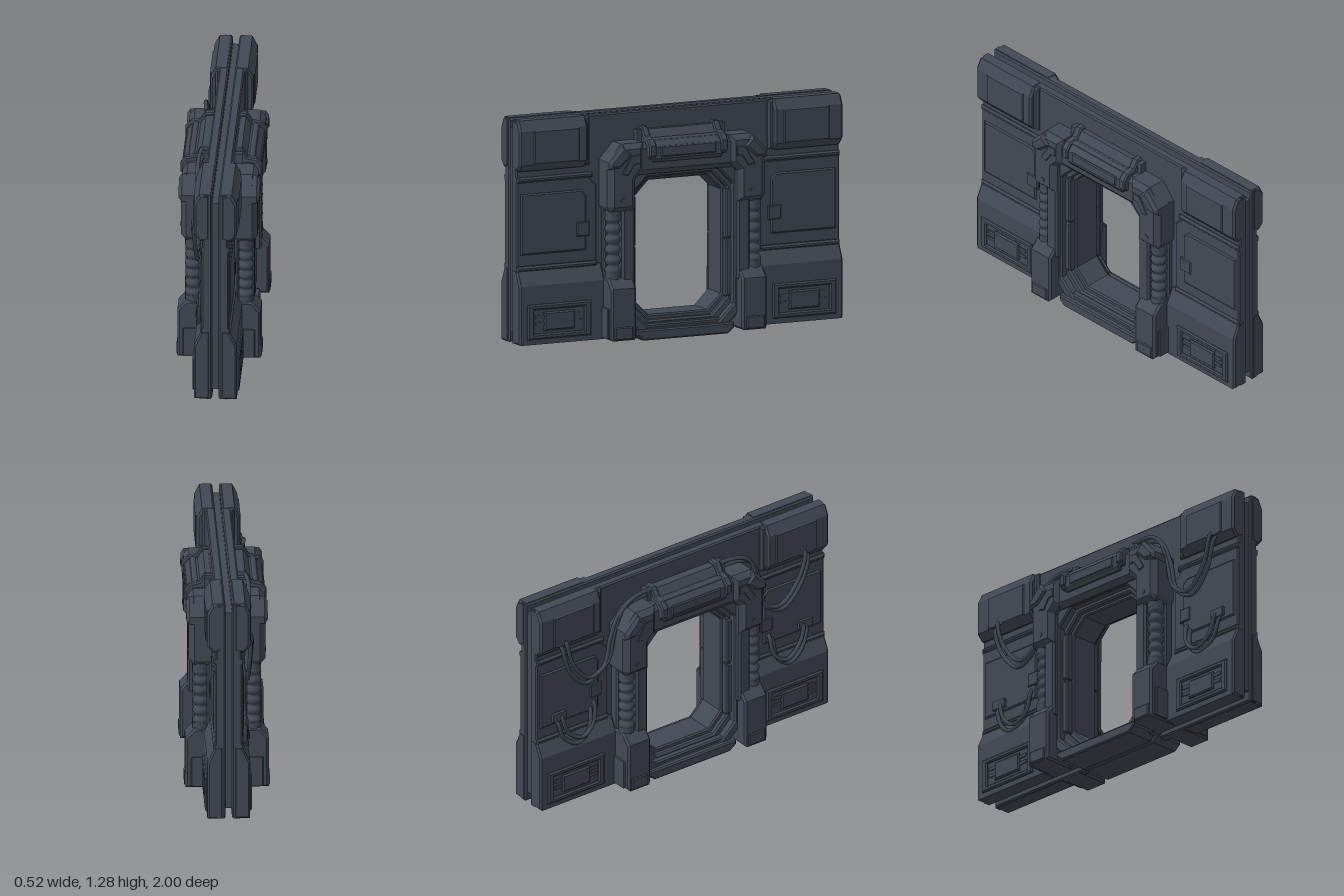
import * as THREE from 'three';

const steel = new THREE.MeshStandardMaterial({ color: 0x424854 });
steel.name = 'dark steel';

function add(parent, name, geo) {
  const m = new THREE.Mesh(geo, steel);
  m.name = name;
  parent.add(m);
  return m;
}

function extrude(shape, length, bevel) {
  return new THREE.ExtrudeGeometry(shape, {
    depth: length - 2 * bevel, bevelEnabled: bevel > 0, bevelThickness: bevel,
    bevelSize: bevel, bevelOffset: -bevel, bevelSegments: 1, curveSegments: 6,
  }).translate(0, 0, bevel);
}

const toShape = (pts) => new THREE.Shape(pts.map(([a, b]) => new THREE.Vector2(a, b)));

// Outline given as [z, y], extruded along x from x0 to x1; a hole winds against its outline
function plate(pts, x0, x1, bevel = 0, hole = null) {
  const flip = (p) => p.map(([z, y]) => [-z, y]);
  const shape = toShape(flip(pts));
  if (hole) shape.holes.push(toShape(flip(hole).reverse()));
  return extrude(shape, x1 - x0, bevel).rotateY(Math.PI / 2).translate(x0, 0, 0);
}

// Cross-section given as [x, y], extruded along z from z0 to z1
function rail(pts, z0, z1, bevel = 0) {
  const a = Math.min(z0, z1), b = Math.max(z0, z1);
  return extrude(toShape(pts), b - a, bevel).translate(0, 0, a);
}

const rect = (z0, z1, y0, y1) => [[z0, y0], [z1, y0], [z1, y1], [z0, y1]];
const octagon = (w, y0, y1, c) => [
  [-w + c, y0], [w - c, y0], [w, y0 + c], [w, y1 - c],
  [w - c, y1], [-w + c, y1], [-w, y1 - c], [-w, y0 + c]];

// Armour blocks and panels on one end of a wall leaf
function buildWallEnd(g, s) {
  const p = (pts) => pts.map(([z, y]) => [z * s, y]);
  add(g, 'topBlock', rail([[0.03, 1.0], [0.085, 0.99], [0.119, 1.03], [0.119, 1.22], [0.09, 1.277], [0.03, 1.277]],
    0.575 * s, 0.997 * s, 0.012));
  add(g, 'topBlockPanel', plate(p(rect(0.63, 0.91, 1.03, 1.22)), 0.11, 0.125, 0.006));
  add(g, 'topBlockStrap', plate(p(rect(0.55, 0.6, 0.995, 1.272)), 0.04, 0.09, 0.012));
  add(g, 'bottomBlock', rail([[0.03, 0.02], [0.118, 0.02], [0.118, 0.35], [0.075, 0.44], [0.03, 0.44]],
    0.47 * s, 0.997 * s, 0.01));
  add(g, 'middlePanel', plate(p([[0.5, 0.45], [0.995, 0.45], [0.995, 0.94], [0.56, 0.94], [0.5, 0.88]]), 0.04, 0.076, 0.008));
  add(g, 'middlePanelInset', plate(p([[0.57, 0.52], [0.97, 0.52], [0.97, 0.86], [0.6, 0.86], [0.57, 0.83]]), 0.07, 0.084, 0.008));
  add(g, 'panelLip', plate(p(rect(0.53, 0.995, 0.925, 0.955)), 0.04, 0.086, 0.01));
  add(g, 'lowerLip', plate(p(rect(0.5, 0.995, 0.425, 0.455)), 0.04, 0.086, 0.01));
  add(g, 'smallHatch', plate(p(rect(0.55, 0.63, 0.6, 0.68)), 0.06, 0.09, 0.005));
  // Framed vent on the bottom block
  add(g, 'ventFrame', plate(p(rect(0.56, 0.95, 0.05, 0.245)), 0.11, 0.13, 0.008, p(rect(0.6, 0.91, 0.08, 0.215))));
  add(g, 'ventBox', plate(p(rect(0.66, 0.85, 0.095, 0.2)), 0.11, 0.13, 0.008));
  for (const y of [0.125, 0.165]) add(g, 'ventSlat', plate(p(rect(0.61, 0.9, y, y + 0.02)), 0.11, 0.124));
}

// Pillar base, beaded hose and elbow beside the doorway
function buildPillar(g, s) {
  const p = (pts) => pts.map(([z, y]) => [z * s, y]);
  add(g, 'pillarBase', rail([[0.03, 0.02], [0.23, 0.02], [0.23, 0.31], [0.18, 0.365], [0.03, 0.365]],
    0.325 * s, 0.48 * s, 0.012));
  add(g, 'baseFoot', plate(p(rect(0.345, 0.465, 0.02, 0.1)), 0.18, 0.236, 0.01));
  add(g, 'baseSideRib', plate(p(rect(0.47, 0.49, 0.03, 0.2)), 0.05, 0.2, 0.006));
  add(g, 'pillarCore', plate(p(rect(0.315, 0.395, 0.3, 0.78)), 0.03, 0.19, 0.012));
  add(g, 'pillarBacking', plate(p(rect(0.38, 0.47, 0.3, 0.78)), 0.03, 0.11, 0.01));
  for (const y of [0.375, 0.725]) {
    add(g, 'hoseCollar', new THREE.CylinderGeometry(0.044, 0.044, 0.04, 16).translate(0.145, y, 0.432 * s));
  }
  // Beaded hose profile
  const beads = [];
  for (let i = 0; i <= 42; i++) {
    beads.push(new THREE.Vector2(0.03 + 0.015 * Math.abs(Math.sin(i * Math.PI / 7)), 0.375 + 0.35 * i / 42));
  }
  add(g, 'beadedHose', new THREE.LatheGeometry(beads, 16).translate(0.145, 0, 0.432 * s));
  add(g, 'elbow', plate(p([[0.315, 0.735], [0.465, 0.735], [0.485, 0.765], [0.485, 1.02], [0.4, 1.115],
    [0.265, 1.115], [0.265, 0.96], [0.315, 0.91]]), 0.03, 0.212, 0.03));
  add(g, 'elbowGuard', plate(p([[0.34, 1.05], [0.4, 1.112], [0.487, 1.02], [0.487, 0.98], [0.42, 0.98]]), 0.1, 0.225, 0.018));
  add(g, 'elbowPlate', plate(p([[0.3, 1.0], [0.33, 1.0], [0.37, 0.94], [0.41, 0.95], [0.35, 1.05], [0.3, 1.05]]), 0.2, 0.217, 0.004));
  add(g, 'elbowBolt', new THREE.CylinderGeometry(0.014, 0.014, 0.02, 10)
    .rotateZ(Math.PI / 2).translate(0.206, 0.8, 0.4 * s));
}

// One leaf of the wall with its panels
function buildLeaf() {
  const g = new THREE.Group();
  add(g, 'wallLeaf', plate(rect(-0.995, 0.995, 0.022, 1.274), 0.018, 0.07, 0.008, octagon(0.285, 0.09, 0.9, 0.085)));
  for (const s of [1, -1]) buildWallEnd(g, s);
  return g;
}

// Door surround, pillars and beam on one face
function buildDoorway() {
  const g = new THREE.Group();
  for (const s of [1, -1]) {
    buildPillar(g, s);
    // Door jambs, split half way up
    add(g, 'lowerJamb', plate(rect(0.278, 0.325, 0.2, 0.515).map(([z, y]) => [z * s, y]), 0.02, 0.125, 0.008));
    add(g, 'upperJamb', plate(rect(0.278, 0.325, 0.525, 0.8).map(([z, y]) => [z * s, y]), 0.02, 0.125, 0.008));
  }
  // Stepped door surround
  add(g, 'middleFrame', plate(octagon(0.33, 0.03, 0.95, 0.1), 0.02, 0.115, 0.01, octagon(0.285, 0.1, 0.9, 0.09)));
  add(g, 'outerFrame', plate(octagon(0.35, 0.02, 0.99, 0.1), 0.02, 0.16, 0.01, octagon(0.308, 0.065, 0.925, 0.095)));
  add(g, 'sill', plate([[-0.26, 0], [0.26, 0], [0.3, 0.03], [0.3, 0.06], [-0.3, 0.06], [-0.3, 0.03]], 0.006, 0.185, 0.008));
  add(g, 'sillStep', plate(rect(-0.25, 0.25, 0.03, 0.085), 0, 0.15, 0.008));
  // Beam and rounded housing over the door
  add(g, 'lintel', rail([[0.03, 0.93], [0.165, 0.93], [0.19, 0.96], [0.19, 1.08], [0.165, 1.11], [0.03, 1.11]], -0.32, 0.32));
  add(g, 'housing', rail([[0.05, 1.0], [0.2, 1.0], [0.214, 1.02], [0.214, 1.085], [0.185, 1.12], [0.14, 1.128],
    [0.11, 1.172], [0.05, 1.172]], -0.215, 0.215, 0.008));
  add(g, 'housingPlate', plate(rect(-0.17, 0.17, 1.03, 1.09), 0.2, 0.22, 0.006));
  add(g, 'housingRod', new THREE.CylinderGeometry(0.018, 0.018, 0.42, 12).rotateX(Math.PI / 2).translate(0.165, 1.115, 0));
  for (const s of [1, -1]) {
    add(g, 'housingCollar', rail([[0.05, 1.02], [0.2, 1.02], [0.226, 1.04], [0.226, 1.095], [0.195, 1.13], [0.145, 1.14],
      [0.115, 1.187], [0.05, 1.187]], 0.198 * s, 0.242 * s, 0.008));
    add(g, 'housingClip', new THREE.BoxGeometry(0.06, 0.07, 0.04).translate(0.09, 1.14, 0.25 * s));
  }
  return g;
}

// Paired hanging cables on the cabled face
function buildCables(g, s) {
  const paths = {
    upperCable: [[-0.085, 1.04, 0.85], [-0.12, 1.01, 0.85], [-0.12, 0.85, 0.8], [-0.115, 0.73, 0.68],
      [-0.115, 0.79, 0.56], [-0.12, 0.97, 0.515], [-0.125, 1.1, 0.46], [-0.125, 1.145, 0.38], [-0.115, 1.15, 0.26]],
    lowerCable: [[-0.06, 0.55, 0.86], [-0.09, 0.53, 0.86], [-0.1, 0.42, 0.82], [-0.11, 0.365, 0.73],
      [-0.1, 0.42, 0.65], [-0.085, 0.53, 0.63], [-0.06, 0.55, 0.63]],
  };
  for (const [name, pts] of Object.entries(paths)) {
    for (const k of [0, 1]) {
      const curve = new THREE.CatmullRomCurve3(pts.map(([x, y, z]) =>
        new THREE.Vector3(x - 0.006 * k, y + 0.03 * k, (z - 0.025 * k) * s)));
      add(g, name, new THREE.TubeGeometry(curve, 40, 0.012, 8));
    }
    const [x, y, z] = pts[0];
    add(g, 'cableBracket', new THREE.BoxGeometry(0.05, 0.05, 0.09).translate(x - 0.015, y + 0.015, (z - 0.01) * s));
  }
}

export function createModel() {
  const model = new THREE.Group();
  model.name = 'gateWall';
  // The wall stands slightly turned, and its leaves sit a little to one side of the doorway
  const turned = new THREE.Group();
  turned.name = 'turnedAssembly';
  turned.rotation.y = 0.055;
  model.add(turned);
  const wall = new THREE.Group();
  wall.name = 'wall';
  wall.position.x = 0.01;
  turned.add(wall);

  // Recessed core between the two leaves, and the innermost door ring
  add(wall, 'wallCore', plate(rect(-0.985, 0.985, 0.08, 1.225), -0.02, 0.02, 0, octagon(0.29, 0.1, 0.9, 0.085)));
  add(turned, 'innerFrame', plate(octagon(0.31, 0.05, 0.93, 0.1), -0.085, 0.085, 0.008, octagon(0.265, 0.125, 0.88, 0.085)));

  for (const [side, angle] of [['left', 0], ['right', Math.PI]]) {
    const leaf = buildLeaf();
    leaf.name = side + 'Leaf';
    leaf.rotation.y = angle;
    wall.add(leaf);
    const doorway = buildDoorway();
    doorway.name = side + 'Doorway';
    doorway.rotation.y = angle;
    turned.add(doorway);
  }

  for (const s of [1, -1]) buildCables(wall, s);
  return model;
}
